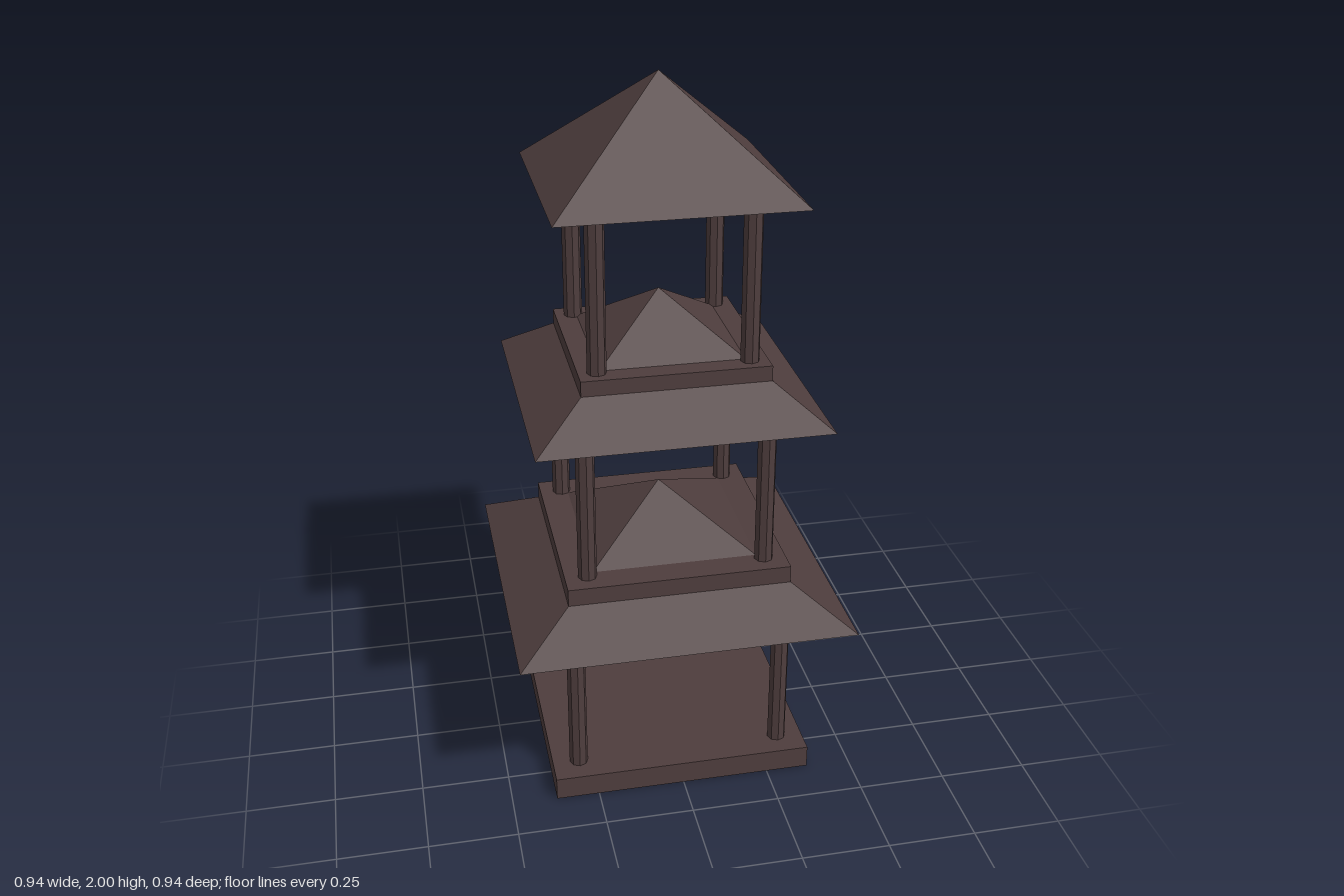
import * as THREE from 'three';

export function createModel() {
  const model = new THREE.Group();
  model.name = 'tieredPavilion';

  const wood = new THREE.MeshStandardMaterial({ color: 0x4e3d3d });
  wood.name = 'darkWood';
  wood.flatShading = true;

  const add = (name, geometry, x, y, z) => {
    const mesh = new THREE.Mesh(geometry, wood);
    mesh.name = name;
    mesh.position.set(x, y, z);
    model.add(mesh);
  };

  const slabHeight = 0.067;
  const postHeight = 0.449;
  const roofHeight = 0.292;
  const tierStep = 0.596;

  // Half-widths of each storey, from the ground up
  const tiers = [
    { name: 'lower', slab: 0.373, post: 0.297, roof: 0.472 },
    { name: 'middle', slab: 0.316, post: 0.252, roof: 0.401 },
    { name: 'upper', slab: 0.259, post: 0.208, roof: 0.33 },
  ];

  tiers.forEach((t, i) => {
    const y = i * tierStep;

    // Square floor slab
    add(`${t.name}Floor`, new THREE.BoxGeometry(t.slab * 2, slabHeight, t.slab * 2), 0, y + slabHeight / 2, 0);

    // Four corner posts
    const post = new THREE.CylinderGeometry(0.0265, 0.0265, postHeight, 8);
    for (const sx of [-1, 1]) {
      for (const sz of [-1, 1]) {
        add(`${t.name}Post`, post, sx * t.post, y + slabHeight + postHeight / 2, sz * t.post);
      }
    }

    // Pyramid roof, turned so its sides face the axes
    const roof = new THREE.ConeGeometry(t.roof * Math.SQRT2, roofHeight, 4);
    roof.rotateY(Math.PI / 4);
    add(`${t.name}Roof`, roof, 0, y + slabHeight + postHeight + roofHeight / 2, 0);
  });

  return model;
}
